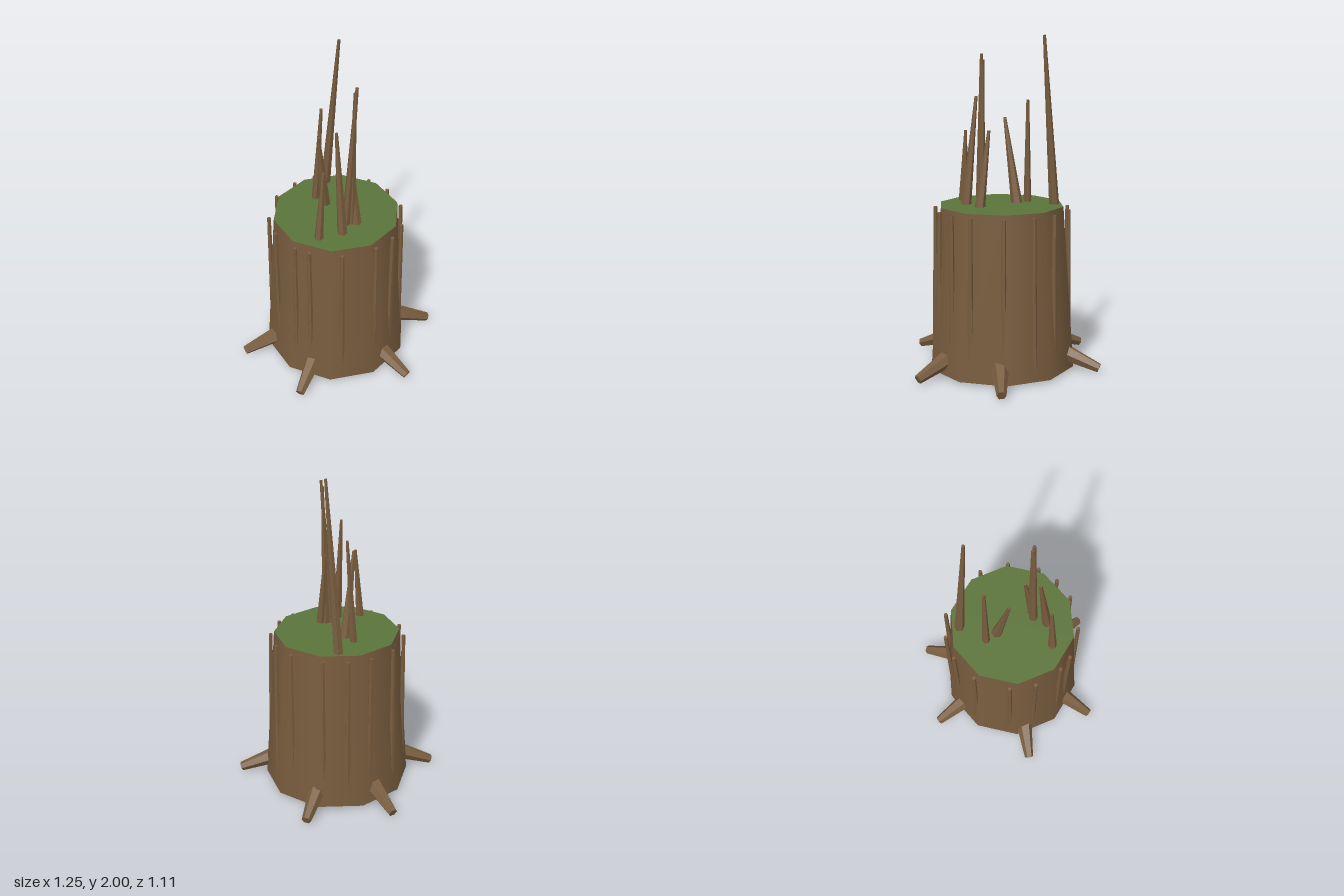
import * as THREE from 'three';

const bark = new THREE.MeshStandardMaterial({ color: 0x785c3e });
bark.name = 'bark brown';
const moss = new THREE.MeshStandardMaterial({ color: 0x5a7339 });
moss.name = 'moss green';

const CENTRE_Z = 0.03, BOTTOM = 0.02, TOP = 1, R_BOTTOM = 0.45, R_TOP = 0.38;

// Tapered faceted rod running from point a (radius ra) to point b (radius rb)
function rod(name, a, b, ra, rb, sides) {
  const from = new THREE.Vector3(...a), to = new THREE.Vector3(...b);
  const dir = to.clone().sub(from);
  const geo = new THREE.CylinderGeometry(rb, ra, dir.length(), sides).toNonIndexed();
  geo.computeVertexNormals();
  const mesh = new THREE.Mesh(geo, bark);
  mesh.name = name;
  mesh.position.copy(from).add(to).multiplyScalar(0.5);
  mesh.quaternion.setFromUnitVectors(new THREE.Vector3(0, 1, 0), dir.normalize());
  return mesh;
}

// Distance from the trunk axis to its ten-sided surface
function trunkRadius(angle, y) {
  const r = THREE.MathUtils.lerp(R_BOTTOM, R_TOP, (y - BOTTOM) / (TOP - BOTTOM));
  const step = Math.PI / 5;
  const off = THREE.MathUtils.euclideanModulo(angle, step) - step / 2;
  return r * Math.cos(step / 2) / Math.cos(off);
}

export function createModel() {
  const model = new THREE.Group();
  model.name = 'treeStump';

  // Trunk with a green cut top
  const trunkGeo = new THREE.CylinderGeometry(R_TOP, R_BOTTOM, TOP - BOTTOM, 10);
  trunkGeo.rotateY(Math.PI / 10);
  const trunk = new THREE.Mesh(trunkGeo, [bark, moss, bark]);
  trunk.name = 'trunk';
  trunk.position.set(0, (TOP + BOTTOM) / 2, CENTRE_Z);
  model.add(trunk);

  // Bark ridges: top x, top z, height of the lower end
  const ridges = new THREE.Group();
  ridges.name = 'barkRidges';
  [
    [0.4, 0.04, 0.21], [0.35, 0.225, 0.12], [0.265, 0.33, 0.16], [0.148, 0.4, 0.2],
    [-0.058, 0.425, 0.09], [-0.235, 0.355, 0.18], [-0.305, 0.292, 0.15],
    [-0.39, 0.135, 0.15], [-0.4, -0.02, 0.15], [-0.315, -0.225, 0.12],
    [-0.18, -0.335, 0.18], [-0.045, -0.375, 0.12], [0.1, -0.365, 0.2],
    [0.28, -0.26, 0.15], [0.365, -0.135, 0.06],
  ].forEach(([x, z, y]) => {
    const angle = Math.atan2(z - CENTRE_Z, x);
    const r = trunkRadius(angle, y) - 0.018;
    const foot = [r * Math.cos(angle), y, CENTRE_Z + r * Math.sin(angle)];
    ridges.add(rod('barkRidge', foot, [x, 0.98, z], 0.018, 0.012, 6));
  });
  model.add(ridges);

  // Roots: start x, z inside the trunk and tip x, z
  const roots = new THREE.Group();
  roots.name = 'roots';
  [
    [0.33, 0.06, 0.615, 0.065], [0.17, 0.3, 0.335, 0.535], [-0.18, 0.3, -0.345, 0.53],
    [-0.33, 0.075, -0.615, 0.095], [-0.175, -0.25, -0.31, -0.495], [0.11, -0.275, 0.21, -0.545],
  ].forEach(([x0, z0, x1, z1]) => {
    roots.add(rod('root', [x0, 0.14, z0], [x1, 0.03, z1], 0.06, 0.028, 6));
  });
  model.add(roots);

  // Splinters: base x, z, base radius, tip x, y, z
  const splinters = new THREE.Group();
  splinters.name = 'splinters';
  [
    [0.005, -0.29, 0.031, 0.073, 2.0, -0.216],
    [-0.093, -0.135, 0.024, -0.05, 1.62, -0.132],
    [-0.045, -0.07, 0.036, -0.097, 1.515, 0.003],
    [0.092, 0.165, 0.033, 0.065, 1.45, 0.106],
    [0.025, 0.16, 0.026, 0.086, 1.895, 0.148],
    [0.06, 0.155, 0.026, 0.078, 1.86, 0.14],
    [-0.012, 0.242, 0.031, -0.034, 1.645, 0.177],
    [-0.158, 0.258, 0.028, -0.123, 1.435, 0.238],
  ].forEach(([x0, z0, r, x1, y1, z1]) => {
    splinters.add(rod('splinter', [x0, 0.97, z0], [x1, y1, z1], r, 0.009, 6));
  });
  model.add(splinters);

  return model;
}
